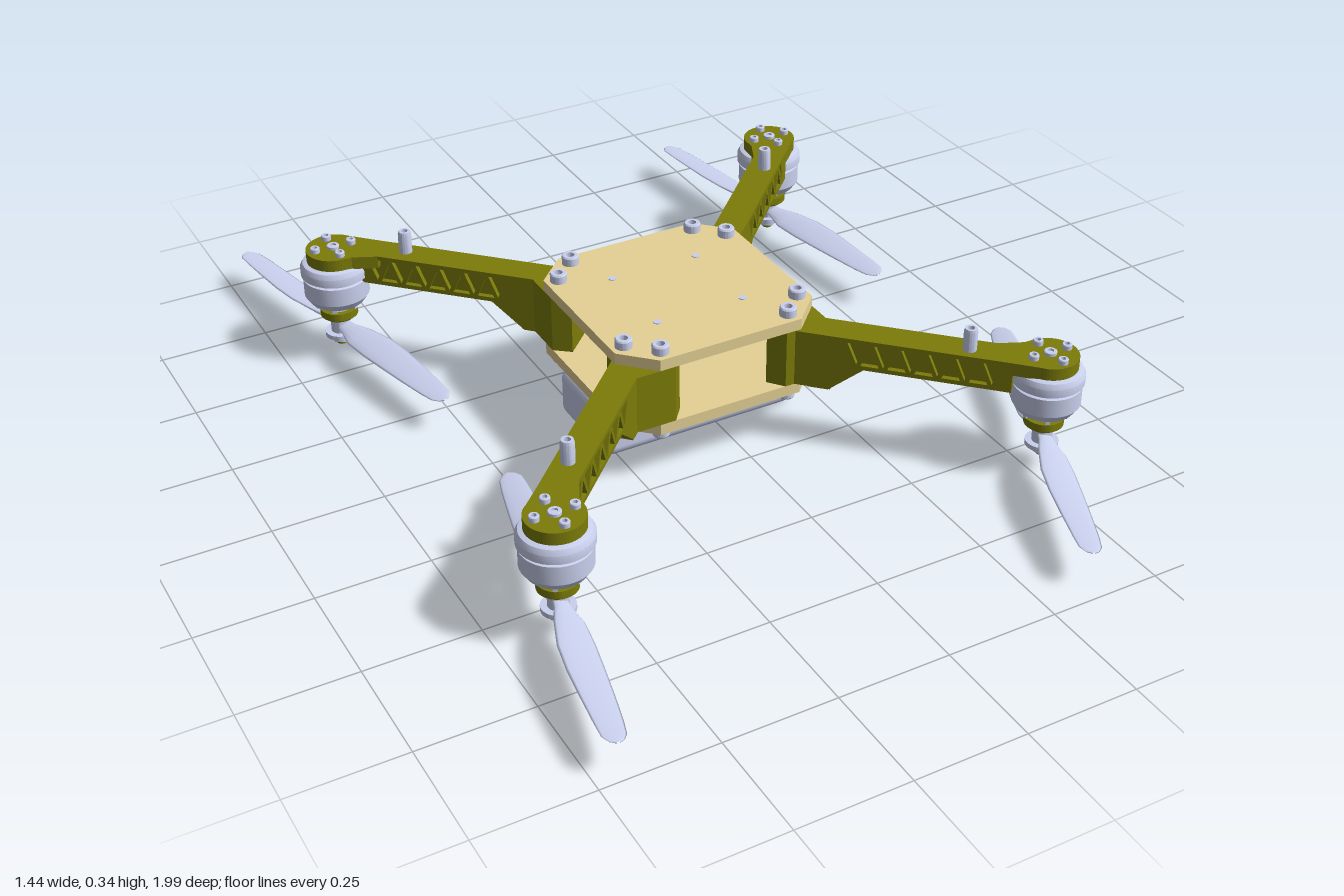
import * as THREE from 'three';
import { toCreasedNormals } from 'three/addons/utils/BufferGeometryUtils.js';
import { RoundedBoxGeometry } from 'three/addons/geometries/RoundedBoxGeometry.js';

const mat = (color) => new THREE.MeshStandardMaterial({ color });
const STEEL = mat(0xcad1ee), OLIVE = mat(0x7c7c0a), TAN = mat(0xe6d296), CYAN = mat(0x40c8c8);
const CX = -0.045; // frame centre

function add(parent, name, geo, material, x = 0, y = 0, z = 0) {
  const m = new THREE.Mesh(geo, material);
  m.name = name;
  m.position.set(x, y, z);
  parent.add(m);
  return m;
}
const box = (p, name, m, w, h, d, x, y, z) => add(p, name, new THREE.BoxGeometry(w, h, d), m, x, y, z);
const poly = (pts) => new THREE.Shape(pts.map(([x, y]) => new THREE.Vector2(x, y)));
const extrude = (shape, depth) =>
  new THREE.ExtrudeGeometry(shape, { depth, bevelEnabled: false, curveSegments: 20 });
// plan shape (x, z) as a slab whose top face lies at y = 0
const slab = (shape, depth) => extrude(shape, depth).rotateX(Math.PI / 2);
const turned = (pts, seg = 32) =>
  toCreasedNormals(new THREE.LatheGeometry(pts.map(([r, y]) => new THREE.Vector2(r, y)), seg), 0.5);

// socket-head bolt standing on y = 0
const boltGeo = (r, h) => turned([[0, 0], [r, 0], [r, h * 0.85], [r * 0.88, h], [r * 0.5, h], [r * 0.5, h * 0.4], [0, h * 0.4]], 18);
const frameBolt = boltGeo(0.019, 0.022), padBolt = boltGeo(0.011, 0.012);

// arm side outline, with optional triangular truss openings
function armOutline(truss) {
  const s = poly([[0.31, 0.148], [0.355, 0.148], [0.43, 0.21], [0.745, 0.21], [0.745, 0.283], [0.31, 0.283]]);
  if (truss) {
    const pitch = 0.058, lo = 0.22, hi = 0.273;
    for (let i = 0; i < 6; i++) {
      const u = 0.385 + i * pitch;
      s.holes.push(poly([[u + 0.029, lo + 0.002], [u + 0.008, hi], [u + 0.05, hi]]));
      if (i > 0) s.holes.push(poly([[u - 0.02, lo], [u + 0.02, lo], [u, hi - 0.008]]));
    }
  }
  return s;
}

// arm points along local +x, with its beam offset towards local +z
function buildArm() {
  const arm = new THREE.Group();
  arm.name = 'arm';
  add(arm, 'armCore', extrude(armOutline(false), 0.046), OLIVE, 0, 0, 0.002);
  add(arm, 'armTrussInner', extrude(armOutline(true), 0.012), OLIVE, 0, 0, -0.01);
  add(arm, 'armTrussOuter', extrude(armOutline(true), 0.012), OLIVE, 0, 0, 0.048);
  const bracket = poly([[0.22, -0.07], [0.265, -0.075], [0.29, -0.05], [0.338, -0.002], [0.36, -0.01],
    [0.36, 0.06], [0.28, 0.06], [0.265, 0.075], [0.22, 0.07]]);
  add(arm, 'armBracket', slab(bracket, 0.134), OLIVE, 0, 0.283, 0);

  // motor mounting pad
  const pad = new THREE.Shape();
  pad.moveTo(0.7, -0.01);
  pad.lineTo(0.755, -0.03);
  pad.absarc(0.813, 0, 0.062, -2.3, 1.75, false);
  pad.lineTo(0.74, 0.06);
  pad.lineTo(0.7, 0.06);
  add(arm, 'motorPad', slab(pad, 0.03), OLIVE, 0, 0.283, 0);
  for (let i = 0; i < 4; i++) {
    const a = Math.PI / 4 + i * Math.PI / 2;
    add(arm, 'padBolt', padBolt, STEEL, 0.813 + 0.043 * Math.cos(a), 0.283, 0.043 * Math.sin(a));
  }
  add(arm, 'padCentreBolt', boltGeo(0.014, 0.008), STEEL, 0.813, 0.283, 0);
  add(arm, 'armPost', boltGeo(0.015, 0.054), STEEL, 0.648, 0.282, 0.03);

  // frame bolts above and below the plates
  for (const s of [-1, 1]) {
    add(arm, 'topBolt', frameBolt, STEEL, 0.258, 0.308, s * 0.04);
    add(arm, 'bottomBolt', frameBolt, STEEL, 0.258, 0.124, s * 0.04).rotation.x = Math.PI;
  }
  return arm;
}

// blade along local +z: lens sections [distance, one edge, other edge]
function bladeGeometry() {
  const stations = [[0.0, 0.014, 0.014], [0.035, 0.018, 0.02], [0.08, 0.03, 0.033], [0.15, 0.042, 0.035], [0.22, 0.042, 0.033],
    [0.3, 0.036, 0.03], [0.37, 0.03, 0.026], [0.405, 0.026, 0.022], [0.42, 0.016, 0.013], [0.425, 0.003, 0.003]];
  const N = 12, pos = [], idx = [];
  stations.forEach(([s, b, a], i) => {
    const tilt = 0.3 - 0.45 * s, t = 0.007 * (1 - s * 1.6);
    for (let k = 0; k < N; k++) {
      const ang = (k / N) * Math.PI * 2;
      const w = (b - a) / 2 + Math.cos(ang) * (a + b) / 2, h = Math.sin(ang) * t;
      pos.push(w * Math.cos(tilt) - h * Math.sin(tilt), w * Math.sin(tilt) + h * Math.cos(tilt), s);
      if (i) {
        const q = (i - 1) * N + k, r = (i - 1) * N + (k + 1) % N;
        idx.push(q, r, q + N, r, r + N, q + N);
      }
    }
  });
  const g = new THREE.BufferGeometry();
  g.setAttribute('position', new THREE.Float32BufferAttribute(pos, 3));
  g.setIndex(idx);
  g.computeVertexNormals();
  return g;
}

function buildMotor() {
  const g = new THREE.Group();
  g.name = 'motor';
  add(g, 'motorBody', turned([[0, 0.13], [0.03, 0.13], [0.03, 0.148], [0.05, 0.148], [0.062, 0.152], [0.074, 0.17],
    [0.074, 0.213], [0.068, 0.215], [0.068, 0.22], [0.078, 0.222], [0.078, 0.241], [0.072, 0.252], [0.06, 0.256], [0, 0.256]], 40), STEEL);
  for (let i = 0; i < 6; i++) {
    const spoke = box(g, 'motorSpoke', STEEL, 0.03, 0.014, 0.01, 0, 0.146, 0);
    spoke.rotation.y = i * Math.PI / 3;
    spoke.translateX(0.038);
  }
  add(g, 'propCollar', turned([[0, 0.106], [0.036, 0.106], [0.043, 0.112], [0.043, 0.13], [0, 0.13]]), OLIVE);
  add(g, 'propHub', turned([[0, 0.066], [0.022, 0.066], [0.022, 0.107], [0, 0.107]]), STEEL);
  add(g, 'propWasher', turned([[0, 0.056], [0.036, 0.056], [0.036, 0.067], [0, 0.067]]), STEEL);
  add(g, 'propNut', new THREE.CylinderGeometry(0.024, 0.024, 0.014, 6), STEEL, 0, 0.05, 0);
  add(g, 'shaftTip', new THREE.CylinderGeometry(0.012, 0.012, 0.016, 16), OLIVE, 0, 0.041, 0);
  return g;
}

export function createModel() {
  const model = new THREE.Group();
  model.name = 'quadcopter';
  const frame = new THREE.Group();
  frame.name = 'frame';
  frame.position.x = CX;
  model.add(frame);

  // octagonal plates with cut corners
  const plate = poly([[-0.24, -0.17], [-0.17, -0.24], [0.17, -0.24], [0.24, -0.17],
    [0.24, 0.17], [0.17, 0.24], [-0.17, 0.24], [-0.24, 0.17]]);
  add(frame, 'topPlate', slab(plate, 0.026), TAN, 0, 0.309, 0);
  add(frame, 'bottomPlate', slab(plate, 0.026), TAN, 0, 0.149, 0);
  add(frame, 'battery', new RoundedBoxGeometry(0.48, 0.122, 0.228, 5, 0.028), STEEL, 0, 0.061, 0);

  // circuit board hanging from the top plate
  box(frame, 'circuitBoard', CYAN, 0.24, 0.008, 0.236, 0, 0.23, 0);
  for (const sx of [-1, 1]) for (const sz of [-1, 1]) {
    add(frame, 'boardSpacer', new THREE.CylinderGeometry(0.015, 0.015, 0.05, 20), CYAN, sx * 0.104, 0.259, sz * 0.104);
    add(frame, 'boardNut', new THREE.CylinderGeometry(0.015, 0.015, 0.014, 6), STEEL, sx * 0.104, 0.219, sz * 0.104);
    add(frame, 'spacerScrew', new THREE.CylinderGeometry(0.009, 0.009, 0.004, 16), STEEL, sx * 0.104, 0.309, sz * 0.104);
  }
  box(frame, 'boardChip', CYAN, 0.05, 0.012, 0.05, -0.02, 0.24, 0.03);

  // right-angle pin header at the back and a straight one at the side
  box(frame, 'pinHeader', STEEL, 0.11, 0.022, 0.024, 0.02, 0.215, -0.075);
  for (let i = 0; i < 6; i++) {
    const x = -0.027 + i * 0.019;
    box(frame, 'headerPin', STEEL, 0.008, 0.008, 0.04, x, 0.215, -0.105);
    box(frame, 'headerPin', STEEL, 0.008, 0.058, 0.008, x, 0.19, -0.125);
    box(frame, 'headerPin', STEEL, 0.008, 0.058, 0.008, x, 0.19, -0.075);
  }
  for (let i = 0; i < 5; i++) {
    box(frame, 'sidePin', STEEL, 0.04, 0.026, 0.012, 0.12, 0.231, -0.01 + i * 0.018);
  }

  // four arms, turned about the centre
  for (let i = 0; i < 4; i++) {
    const arm = buildArm();
    arm.rotation.y = -Math.PI / 4 + i * Math.PI / 2;
    frame.add(arm);
  }

  // motors and propellers: [x sign, z sign, tip offset x, tip offset z]
  const blade = bladeGeometry();
  const mirrored = bladeGeometry().scale(-1, 1, 1);
  const order = mirrored.index.array;
  for (let i = 0; i < order.length; i += 3) [order[i], order[i + 1]] = [order[i + 1], order[i]];
  mirrored.computeVertexNormals();
  for (const [sx, sz, dx, dz] of [[-1, -1, -0.082, -0.417], [1, -1, -0.06, -0.42], [-1, 1, 0.085, -0.415], [1, 1, 0.167, -0.39]]) {
    const motor = buildMotor();
    motor.position.set(sx * 0.575, 0, sz * 0.575);
    frame.add(motor);
    const prop = new THREE.Group();
    prop.name = 'propeller';
    prop.position.y = 0.085;
    prop.rotation.y = Math.atan2(dx, dz);
    motor.add(prop);
    for (const turn of [0, Math.PI]) {
      add(prop, 'propellerBlade', sz < 0 ? blade : mirrored, STEEL).rotation.y = turn;
    }
  }
  return model;
}
